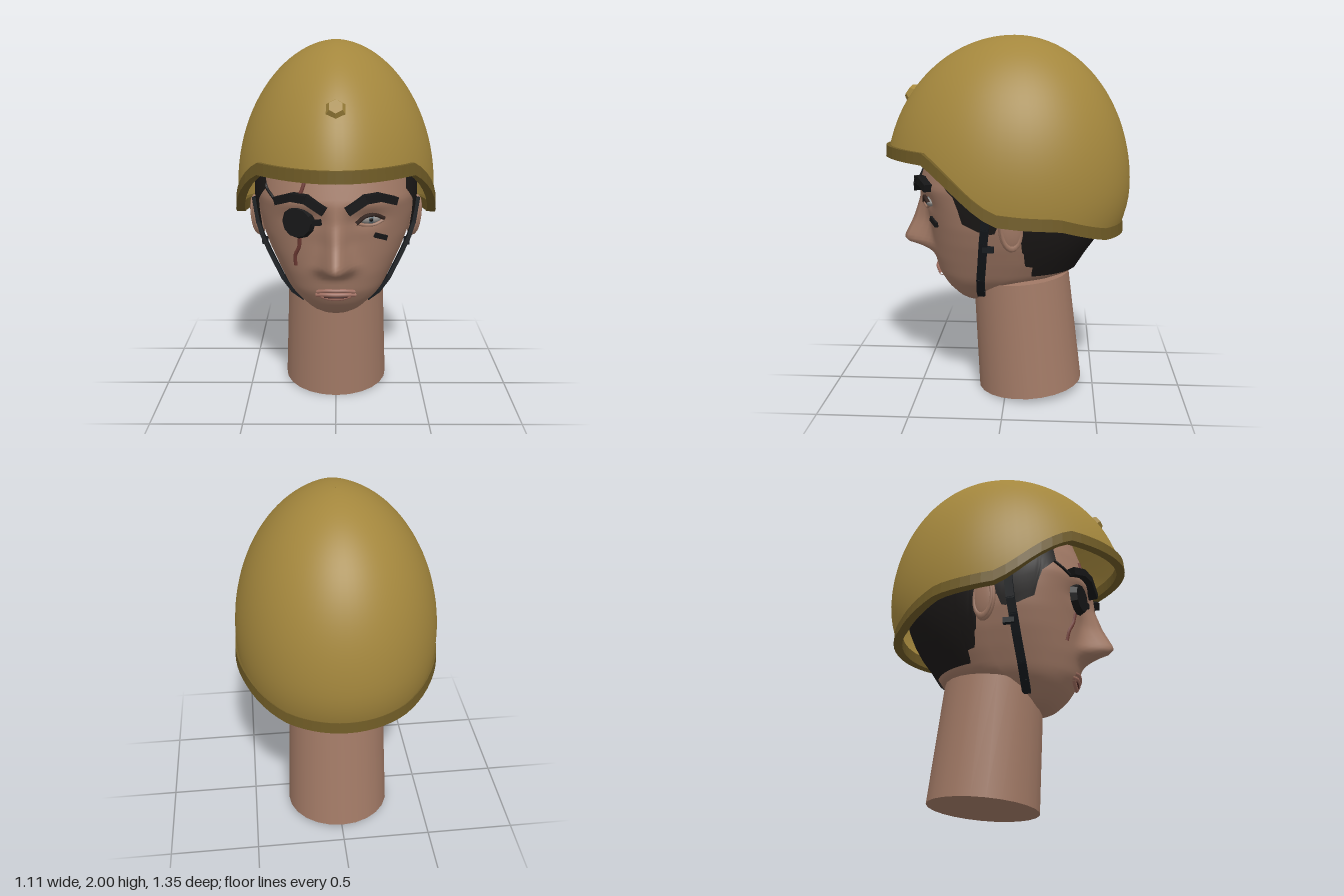
import * as THREE from 'three';

const V = (x, y, z) => new THREE.Vector3(x, y, z);
const mat = (color, flatShading = false, side = THREE.FrontSide) =>
  new THREE.MeshStandardMaterial({ color, flatShading, side });
const SKIN = mat(0xa27a66), BLACK = mat(0x161617, true), STRAP = mat(0x15191d, true);
const HELMET = mat(0xa4873d, false, THREE.DoubleSide), RIM = mat(0x6f5b26, true);
const LIP = mat(0xa06e60), SCAR = mat(0x713c35), TAU = Math.PI * 2;

// Linear lookup in rows [key, a, b, ...] sorted by rising key
function lookup(rows, k) {
  let i = 1;
  while (i < rows.length - 1 && rows[i][0] < k) i++;
  const a = rows[i - 1], b = rows[i];
  const t = THREE.MathUtils.clamp((k - a[0]) / (b[0] - a[0]), 0, 1);
  return a.slice(1).map((v, n) => v + (b[n + 1] - v) * t);
}

// Surface through rows x cols points; columns (and rows) can close on themselves
function skinGrid(rows, cols, point, closeCols = true, closeRows = false) {
  const pos = [], index = [];
  for (let i = 0; i < rows; i++) for (let j = 0; j < cols; j++) pos.push(...point(i, j).toArray());
  for (let i = 0; i < (closeRows ? rows : rows - 1); i++) {
    for (let j = 0; j < (closeCols ? cols : cols - 1); j++) {
      const i2 = (i + 1) % rows, j2 = (j + 1) % cols;
      const a = i * cols + j, b = i * cols + j2, c = i2 * cols + j2, d = i2 * cols + j;
      index.push(a, b, c, a, c, d);
    }
  }
  const g = new THREE.BufferGeometry();
  g.setAttribute('position', new THREE.Float32BufferAttribute(pos, 3));
  g.setIndex(index);
  g.computeVertexNormals();
  return g;
}

// Head sections: y, half width, widest z, front z, back z
const HEAD = [
  [0.515, 0, 0.17, 0.18, 0.16], [0.53, 0.08, 0.13, 0.23, 0.09], [0.56, 0.14, 0.12, 0.275, 0.04],
  [0.62, 0.2, 0.1, 0.335, 0], [0.66, 0.245, 0.05, 0.36, -0.06], [0.7, 0.275, 0, 0.385, -0.36],
  [0.8, 0.325, -0.04, 0.41, -0.42], [0.9, 0.37, -0.05, 0.42, -0.49], [1, 0.405, -0.05, 0.43, -0.54],
  [1.1, 0.425, -0.05, 0.45, -0.57], [1.2, 0.435, -0.05, 0.485, -0.59], [1.35, 0.43, -0.05, 0.445, -0.6],
  [1.55, 0.38, -0.05, 0.38, -0.52], [1.7, 0.27, -0.05, 0.27, -0.38], [1.76, 0, -0.05, -0.05, -0.05],
];
// Nose: y, height, half width
const NOSE = [[0.785, 0, 0.08], [0.82, 0.05, 0.085], [0.855, 0.165, 0.075], [0.88, 0.17, 0.068],
  [0.98, 0.11, 0.052], [1.1, 0.045, 0.05], [1.2, 0, 0.05]];

// Point on the head; the face side is flattened
function headPoint(th, y, off = 0) {
  const [w, zc, f, b] = lookup(HEAD, y);
  const c = Math.cos(th), x = (w + off) * Math.sin(th);
  if (c <= 0) return V(x, y, zc + c * (zc - b + off));
  const [h, nw] = lookup(NOSE, y);
  const nose = h * Math.exp(-((x / nw) ** 2));
  const socket = 0.022 * Math.exp(-(((Math.abs(x) - 0.17) / 0.08) ** 2) - ((y - 1.12) / 0.045) ** 2);
  return V(x, y, zc + c ** 0.65 * (f - zc + off) + nose - socket);
}
const onFace = (x, y, off = 0) => {
  const w = lookup(HEAD, y)[0];
  return V(x, y, headPoint(Math.asin(THREE.MathUtils.clamp(x / w, -1, 1)), y).z + off);
};

// Helmet shell: egg-shaped, narrower toward the front, tucked in at the nape
const RIM_Y = [[-0.7, 0.965], [-0.55, 0.975], [-0.44, 1.01], [-0.29, 1.06], [-0.1, 1.075], [0.03, 1.09],
  [0.08, 1.12], [0.14, 1.165], [0.27, 1.28], [0.34, 1.335], [0.4, 1.375], [0.7, 1.38]];
const rimY = th => lookup(RIM_Y, -0.04 + Math.cos(th) * (Math.cos(th) > 0 ? 0.69 : 0.62))[0];
function helmetPoint(th, phi) {
  const s = Math.sin(phi), c = Math.cos(th);
  const narrow = c > 0 ? 1 - 0.18 * c ** 3 : 1;
  const depth = c > 0 ? 0.715 * s : 0.64 * s ** (phi > Math.PI / 2 ? 1.8 : 1);
  return V(0.545 * narrow * s ** 1.08 * Math.sin(th), 1.2 + 0.8 * Math.cos(phi), -0.04 + c * depth);
}
const rimPhi = th => Math.acos((rimY(th) - 1.2) / 0.8);

export function createModel() {
  const root = new THREE.Group();
  const add = (name, geo, material, parent = root) => {
    const m = new THREE.Mesh(geo, material);
    m.name = name;
    parent.add(m);
    return m;
  };
  // Chain of boxes along points
  const bar = (name, pts, w, t, material, up = V(0, 1, 0)) => {
    const g = new THREE.Group();
    g.name = name;
    for (let i = 0; i < pts.length - 1; i++) {
      const m = add(name + 'Piece', new THREE.BoxGeometry(w, t, pts[i].distanceTo(pts[i + 1]) + 0.01), material, g);
      m.up.copy(up);
      m.position.copy(pts[i]).lerp(pts[i + 1], 0.5);
      m.lookAt(pts[i + 1]);
    }
    root.add(g);
  };
  const tube = (name, pts, r, material) =>
    add(name, new THREE.TubeGeometry(new THREE.CatmullRomCurve3(pts), 12, r, 6), material);

  // Head and neck
  add('head', skinGrid(64, 96, (i, j) => headPoint(j / 96 * TAU, 0.515 + 1.245 * i / 63)), SKIN);
  const neck = add('neck', new THREE.CylinderGeometry(0.272, 0.297, 0.65, 24), SKIN);
  neck.position.set(0, 0.349, -0.107);
  neck.rotation.x = 0.085;

  // Cropped hair: lower edge height by z
  const HAIR = [[-0.45, 0.73], [-0.22, 0.73], [-0.2, 0.79], [-0.14, 0.8], [-0.12, 0.88], [-0.1, 0.89],
    [-0.09, 1.05], [0.02, 1.05], [0.04, 0.985], [0.12, 1.0], [0.2, 1.04], [0.22, 1.18], [0.29, 1.26]];
  add('hair', skinGrid(10, 161, (i, j) => {
    const th = 0.95 + (TAU - 1.9) * j / 160;
    const y0 = lookup(HAIR, headPoint(th, 1).z)[0];
    return headPoint(th, y0 + (1.42 - y0) * i / 9, 0.014);
  }, false), mat(0x1b1817, false, THREE.DoubleSide));

  // Helmet, rim and badge
  add('helmetShell', skinGrid(28, 72, (i, j) => {
    const th = j / 72 * TAU;
    return helmetPoint(th, rimPhi(th) * (1 - i / 27) + 0.002);
  }), HELMET);
  const section = [[0.018, -0.03], [0.014, 0.032], [-0.03, 0.032], [-0.03, -0.03]];
  add('helmetRim', skinGrid(4, 72, (i, j) => {
    const th = j / 72 * TAU, p = helmetPoint(th, rimPhi(th)), [o, h] = section[i];
    return p.add(V(o * Math.sin(th), h, o * Math.cos(th)));
  }, true, true), RIM);
  const badge = add('helmetBadge', new THREE.CylinderGeometry(0.038, 0.066, 0.045, 6), mat(0xa4873d, true));
  badge.position.set(0, 1.69, 0.525);
  badge.rotation.x = 0.95;

  for (const s of [-1, 1]) {
    const side = s > 0 ? 'left' : 'right';
    // Ears
    const ear = new THREE.Group();
    ear.name = side + 'Ear';
    add('earShell', new THREE.SphereGeometry(1, 16, 12), SKIN, ear).scale.set(0.03, 0.125, 0.066);
    const helix = add('earHelix', new THREE.TorusGeometry(0.052, 0.01, 6, 20), SKIN, ear);
    helix.rotation.y = Math.PI / 2;
    helix.scale.y = 1.9;
    helix.position.x = s * 0.016;
    ear.position.set(s * 0.44, 1.025, -0.045);
    ear.rotation.set(0.1, s * 0.3, -s * 0.12);
    root.add(ear);
    // Brows
    bar(side + 'Brow', [[0.06, 1.175], [0.15, 1.232], [0.22, 1.238], [0.3, 1.21]]
      .map(([x, y]) => onFace(s * x, y, 0.018)), 0.05, 0.042, BLACK);
    // Chin strap with buckle
    bar(side + 'ChinStrap', [V(s * 0.45, 1.15, 0.08), V(s * 0.43, 1.02, 0.09), V(s * 0.405, 0.94, 0.1),
      V(s * 0.36, 0.84, 0.11), V(s * 0.295, 0.71, 0.125), V(s * 0.24, 0.635, 0.13), V(s * 0.18, 0.59, 0.13)],
    0.045, 0.022, STRAP, V(1, 0, 0));
    add(side + 'Buckle', new THREE.BoxGeometry(0.03, 0.03, 0.06), STRAP).position.set(s * 0.395, 0.905, 0.075);
  }

  // Open left eye with iris, pupil and lids
  const eye = new THREE.Group();
  eye.name = 'leftEye';
  add('eyeball', new THREE.SphereGeometry(1, 20, 12), mat(0x8f8d8a), eye).scale.set(0.06, 0.026, 0.025);
  [['iris', 0.025, 0x5f6f78, 0.009], ['pupil', 0.012, 0x111111, 0.02]].forEach(([name, r, color, z]) => {
    const m = add(name, new THREE.SphereGeometry(r, 14, 10), mat(color), eye);
    m.scale.z = 0.7;
    m.position.z = z;
  });
  eye.position.copy(onFace(0.175, 1.115, 0.004));
  eye.rotation.y = 0.25;
  root.add(eye);
  const lid = (name, ys, r, m) =>
    tube(name, ys.map((y, i) => onFace(0.105 + i * 0.0475, y, 0.022)), r, m);
  lid('upperLid', [1.1, 1.137, 1.142, 1.118], 0.011, mat(0x33241f));
  lid('lowerLid', [1.1, 1.088, 1.088, 1.11], 0.008, SKIN);
  bar('cheekMark', [onFace(0.205, 1.025, 0.004), onFace(0.258, 1.003, 0.006)], 0.025, 0.027, BLACK);

  // Eye patch with its tab and cord
  const patch = add('eyePatch', new THREE.CylinderGeometry(0.075, 0.09, 0.035, 12), BLACK);
  patch.position.copy(onFace(-0.195, 1.1, 0.03));
  patch.rotation.set(Math.PI / 2, 0, 0.3);
  bar('patchTab', [onFace(-0.13, 1.1, 0.02), onFace(-0.08, 1.108, 0.015)], 0.02, 0.03, BLACK);
  tube('patchCord', [onFace(-0.3, 1.195, 0.01), onFace(-0.335, 1.23, 0.008),
    onFace(-0.36, 1.26, 0.008), onFace(-0.375, 1.31, 0.008)], 0.008, BLACK);

  // Scar above and below the patch
  tube('upperScar', [onFace(-0.155, 1.34), onFace(-0.165, 1.29), onFace(-0.185, 1.24)], 0.011, SCAR);
  tube('lowerScar', [onFace(-0.185, 1.02), onFace(-0.19, 0.96), onFace(-0.21, 0.91), onFace(-0.21, 0.85)], 0.011, SCAR);

  // Mouth
  const lip = (name, hw, ys, r, m) =>
    tube(name, ys.map((y, i) => onFace(hw * (i / 2 - 1), y, 0.006)), r, m);
  lip('upperLipEdge', 0.1, [0.708, 0.717, 0.718, 0.717, 0.708], 0.01, LIP);
  lip('upperLip', 0.105, [0.685, 0.692, 0.692, 0.692, 0.685], 0.011, LIP);
  lip('lowerLip', 0.08, [0.682, 0.669, 0.666, 0.669, 0.682], 0.012, LIP);
  lip('mouthGap', 0.06, [0.68, 0.68, 0.68, 0.68, 0.68], 0.01, mat(0x4a2622));
  return root;
}
